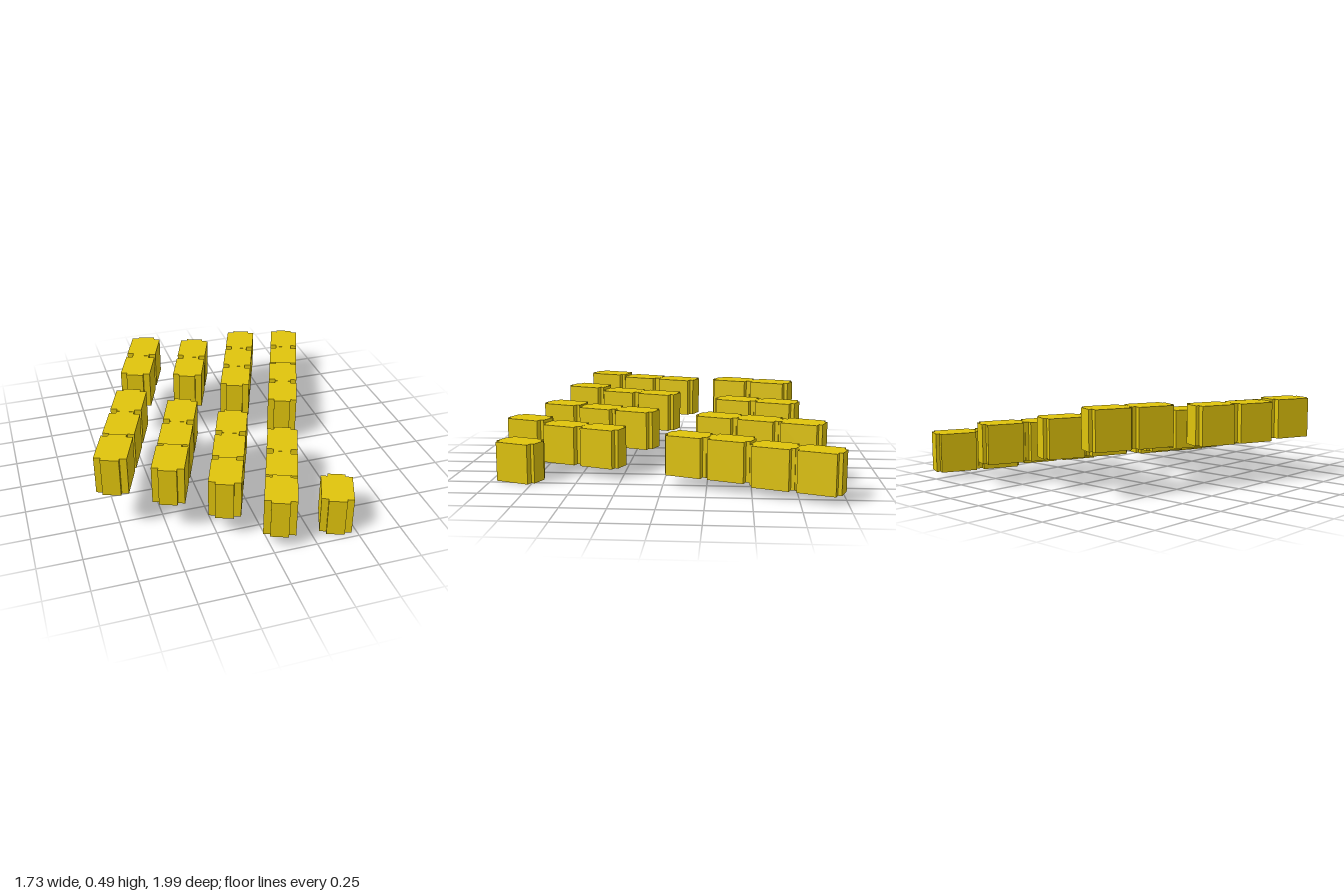
import * as THREE from 'three';

const ANGLE = THREE.MathUtils.degToRad(21.15);
const HEIGHT = 0.229;
const PITCH = 0.256; // spacing of blocks along a row

// Block outline: a rectangle with a narrower tongue at each end
function blockGeometry() {
  const a = 0.09, b = 0.106, c = 0.051, d = 0.1272;
  const half = [[a, -b], [a, b], [c, b], [c, d], [-c, d], [-c, b]];
  const outline = [...half, ...half.map(([x, y]) => [-x, -y])];
  const shape = new THREE.Shape(outline.map(([x, y]) => new THREE.Vector2(x, y)));
  const geometry = new THREE.ExtrudeGeometry(shape, { depth: HEIGHT, bevelEnabled: false });
  return geometry.rotateX(-Math.PI / 2).rotateY(-ANGLE);
}

// Rows: centre of the rearmost block, then base height of each block from rear to front
const ROWS = [
  { name: 'rearRow1', x: 0.740, z: -0.863, bases: [0.045, 0.045, 0.06, 0.06] },
  { name: 'rearRow2', x: 0.384, z: -0.790, bases: [0.126, 0.126, 0.126] },
  { name: 'rearRow3', x: 0.008, z: -0.659, bases: [0.183, 0.183] },
  { name: 'rearRow4', x: -0.330, z: -0.637, bases: [0.259, 0.259] },
  { name: 'frontRow1', x: 0.423, z: 0.835, bases: [0] },
  { name: 'frontRow2', x: 0.268, z: 0.373, bases: [0.058, 0.058, 0.077] },
  { name: 'frontRow3', x: 0.011, z: 0.196, bases: [0.122, 0.122, 0.13] },
  { name: 'frontRow4', x: -0.274, z: 0.085, bases: [0.187, 0.187, 0.204] },
  { name: 'frontRow5', x: -0.560, z: -0.024, bases: [0.243, 0.243, 0.255] },
];

export function createModel() {
  const model = new THREE.Group();
  model.name = 'steppedBlockRows';
  const geometry = blockGeometry();
  const material = new THREE.MeshStandardMaterial({ color: 0xe0c40c });

  for (const { name, x, z, bases } of ROWS) {
    const row = new THREE.Group();
    row.name = name;
    row.position.set(x, 0, z);
    bases.forEach((base, i) => {
      const block = new THREE.Mesh(geometry, material);
      block.name = `block${i + 1}`;
      block.position.set(-Math.sin(ANGLE) * PITCH * i, base, Math.cos(ANGLE) * PITCH * i);
      row.add(block);
    });
    model.add(row);
  }
  return model;
}
